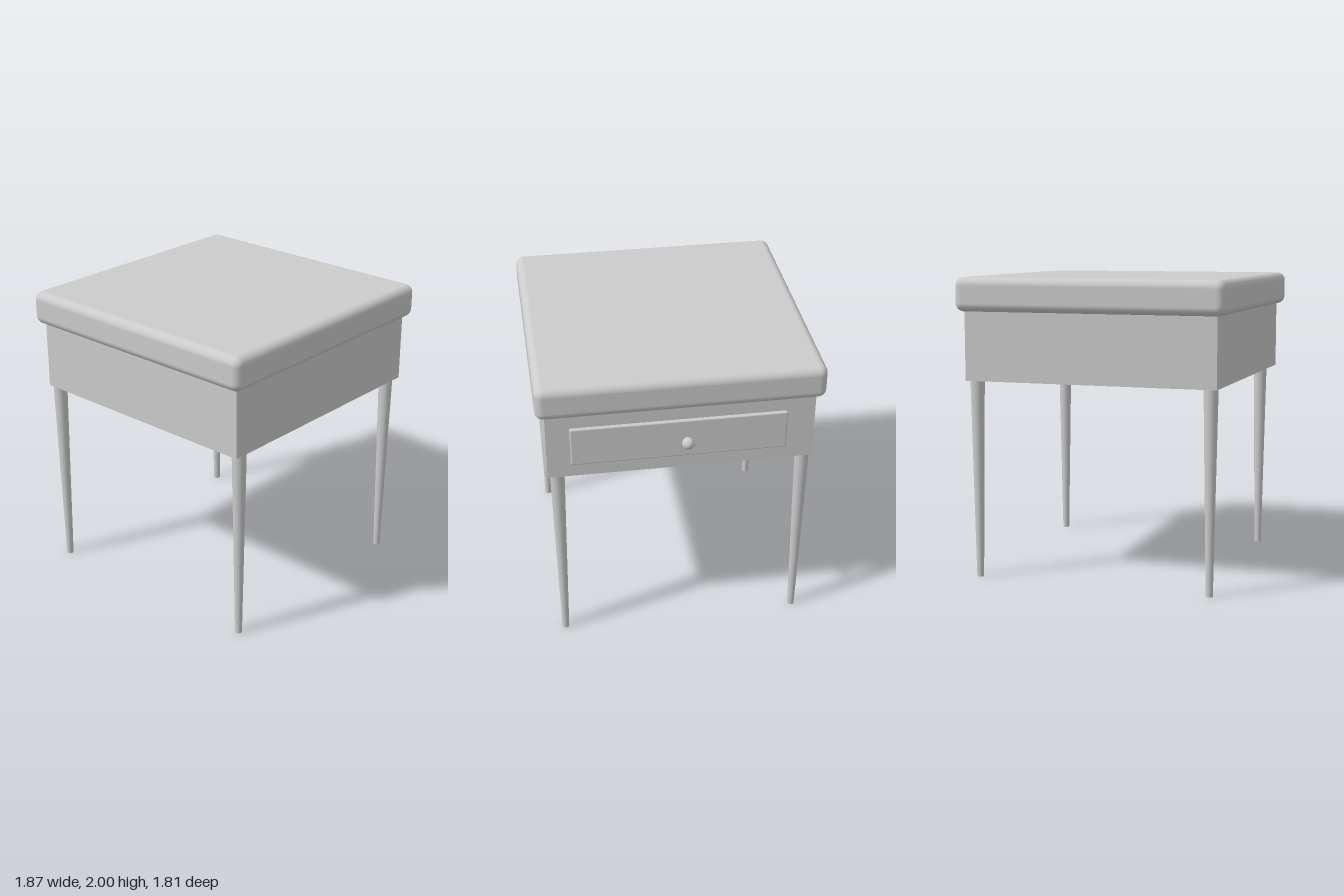
import * as THREE from 'three';
import { RoundedBoxGeometry } from 'three/addons/geometries/RoundedBoxGeometry.js';

export function createModel() {
  const group = new THREE.Group();
  group.name = 'sideTable';
  const material = new THREE.MeshStandardMaterial({ color: 0xcccccc });

  const add = (name, geometry, x, y, z) => {
    const mesh = new THREE.Mesh(geometry, material);
    mesh.name = name;
    mesh.position.set(x, y, z);
    group.add(mesh);
    return mesh;
  };

  // Thick top slab with rounded edges
  add('tableTop', new RoundedBoxGeometry(1.812, 0.223, 1.814, 6, 0.055), -0.031, 1.8885, 0);

  // Box-shaped body
  add('body', new THREE.BoxGeometry(1.70, 0.455, 1.70), -0.03, 1.55, 0);

  // Drawer front with slightly softened edges, set into the +x side
  add('drawerFront', new RoundedBoxGeometry(0.06, 0.265, 1.37, 3, 0.01), 0.813, 1.55, 0.015);

  // Knob on a short stem
  const stem = add('knobStem', new THREE.CylinderGeometry(0.014, 0.014, 0.06, 20), 0.86, 1.547, -0.03);
  stem.rotation.z = Math.PI / 2;
  add('knob', new THREE.SphereGeometry(0.039, 32, 20), 0.894, 1.547, -0.03);

  // Tapered round legs
  const legHeight = 1.325;
  const legGeometry = new THREE.CylinderGeometry(0.047, 0.023, legHeight, 32);
  const legs = [
    ['frontLeftLeg', 0.757, 0.785],
    ['backLeftLeg', 0.757, -0.8],
    ['frontRightLeg', -0.78, 0.785],
    ['backRightLeg', -0.83, -0.8],
  ];
  for (const [name, x, z] of legs) add(name, legGeometry, x, legHeight / 2, z);

  return group;
}
